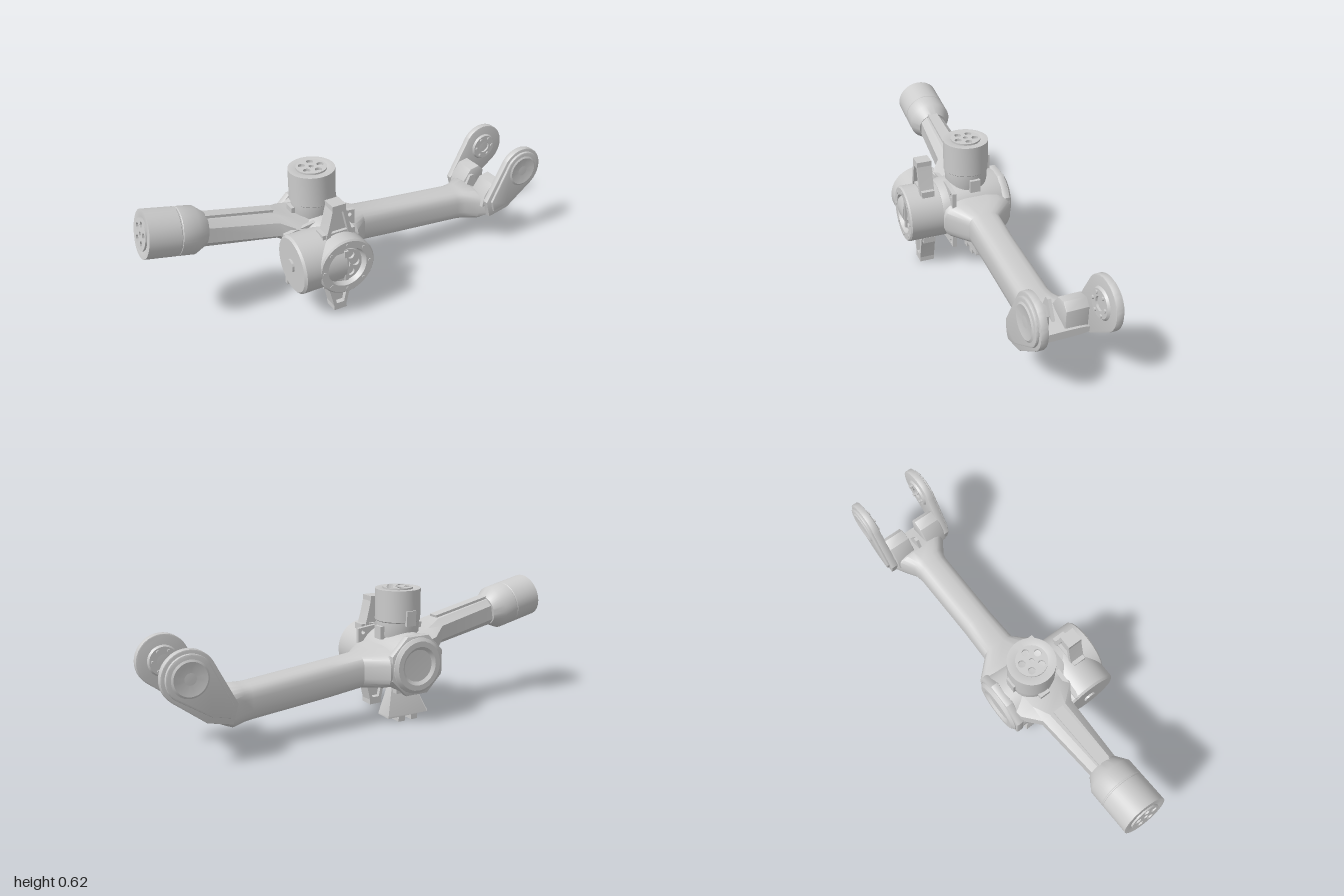
import * as THREE from 'three';
import { mergeVertices, toCreasedNormals } from 'three/addons/utils/BufferGeometryUtils.js';

const MAT = new THREE.MeshStandardMaterial({ color: 0xcccccc, side: THREE.DoubleSide });
const ZC = -0.073; // centre plane of the arm
const V = (x, y, z) => new THREE.Vector3(x, y, z);
const X = V(1, 0, 0), Y = V(0, 1, 0), Z = V(0, 0, 1);

function add(parent, name, geo, pos = V(0, 0, 0), axis = null, from = Y) {
  const m = new THREE.Mesh(toCreasedNormals(geo, 0.6), MAT);
  m.name = name;
  m.position.copy(pos);
  if (axis) m.quaternion.setFromUnitVectors(from, axis.clone().normalize());
  parent.add(m);
  return m;
}

// turned part: profile of [radius, distance] along an axis
function turned(parent, name, profile, pos, axis, segs = 48) {
  const pts = profile.map(([r, d]) => new THREE.Vector2(r, d));
  return add(parent, name, new THREE.LatheGeometry(pts, segs), pos, axis);
}

// body along x from rounded sections [x, yBottom, yTop, halfDepth]
function loft(parent, name, sections, segs, power) {
  const pos = [], idx = [], n = segs;
  const pw = (v) => Math.sign(v) * Math.abs(v) ** power;
  for (const [x, yb, yt, hz] of sections) {
    for (let i = 0; i < n; i++) {
      const a = ((i + 0.5) / n) * Math.PI * 2;
      pos.push(x, (yb + yt) / 2 + (pw(Math.sin(a)) * (yt - yb)) / 2, ZC + pw(Math.cos(a)) * hz);
    }
  }
  for (let s = 0; s < sections.length - 1; s++) {
    for (let i = 0; i < n; i++) {
      const a = s * n + i, b = s * n + ((i + 1) % n);
      idx.push(a, b, a + n, b, b + n, a + n);
    }
  }
  const last = (sections.length - 1) * n;
  for (let i = 1; i < n - 1; i++) idx.push(0, i + 1, i, last, last + i, last + i + 1);
  const g = new THREE.BufferGeometry();
  g.setAttribute('position', new THREE.Float32BufferAttribute(pos, 3));
  g.setIndex(idx);
  return add(parent, name, mergeVertices(g).toNonIndexed(), V(0, 0, 0));
}

function extrude(shape, depth, bevel = 0) {
  return new THREE.ExtrudeGeometry(shape, {
    depth, curveSegments: 24, bevelEnabled: bevel > 0, bevelSize: bevel, bevelThickness: bevel, bevelOffset: -bevel, bevelSegments: 2,
  });
}

const polygon = (pts) => new THREE.Shape(pts.map(([x, y]) => new THREE.Vector2(x, y)));

// round cover plate with a centre bore and a circle of holes
function holedPlate(r, bore, holeR, holeAt, count) {
  const s = new THREE.Shape().absarc(0, 0, r, 0, Math.PI * 2);
  const hole = (x, y, q) => s.holes.push(new THREE.Path().absarc(x, y, q, 0, Math.PI * 2, true));
  hole(0, 0, bore);
  for (let i = 0; i < count; i++) {
    const a = (i / count) * Math.PI * 2;
    hole(Math.cos(a) * holeAt, Math.sin(a) * holeAt, holeR);
  }
  return extrude(s, 0.012);
}

// motor can with a step, a seam and a perforated end cover
function motor(parent, name, end, inward, profile) {
  turned(parent, name, profile, end, inward);
  const out = inward.clone().normalize().negate();
  add(parent, name + 'Cover', holedPlate(0.07, 0.012, 0.016, 0.044, 5), end.clone().addScaledVector(out, -0.006), out, Z);
}

function bolts(parent, centre, r, count, z) {
  for (let i = 0; i < count; i++) {
    const a = (i / count) * Math.PI * 2;
    add(parent, 'bolt', new THREE.CylinderGeometry(0.008, 0.008, 0.01, 8), V(centre.x + r * Math.cos(a), centre.y + r * Math.sin(a), z), Z);
  }
}

// teardrop cheek of the fork; inset shrinks it for the raised pad
function cheekShape(inset) {
  const c = [0.885, 0.39], r = 0.115 - inset;
  const s = new THREE.Shape();
  s.moveTo(0.685 + inset * 1.5, 0.255);
  s.lineTo(0.71 + inset, 0.17 + inset * 2);
  s.lineTo(0.82 - inset, 0.195 + inset * 1.6);
  s.absarc(c[0], c[1], r, -0.91, 2.62, false);
  s.closePath();
  return s;
}

export function createModel() {
  const g = new THREE.Group();
  g.name = 'robotArm';
  const hub = V(-0.195, 0.285, ZC);

  // wrist motor and forearm
  const dir = V(0.978, -0.205, 0).normalize();
  motor(g, 'wristMotor', V(-0.978, 0.512, -0.077), dir,
    [[0, 0.01], [0.06, 0.006], [0.075, 0], [0.105, 0], [0.105, 0.135], [0.103, 0.137], [0.103, 0.142], [0.105, 0.144], [0.105, 0.215], [0.073, 0.265], [0, 0.265]]);
  loft(g, 'forearm', [[-0.745, 0.39, 0.53, 0.062], [-0.4, 0.33, 0.46, 0.083], [-0.32, 0.29, 0.43, 0.145], [-0.2, 0.23, 0.41, 0.155]], 8, 0.7);
  add(g, 'forearmRidge', new THREE.BoxGeometry(0.32, 0.012, 0.05), V(-0.56, 0.495, ZC), V(0.978, -0.2, 0), X);

  // upper arm, flared into the elbow and the fork
  loft(g, 'upperArm', [[-0.2, 0.17, 0.4, 0.165], [-0.05, 0.18, 0.36, 0.168], [0.035, 0.182, 0.338, 0.08],
    [0.2, 0.162, 0.322, 0.075], [0.58, 0.128, 0.285, 0.077], [0.62, 0.124, 0.285, 0.085], [0.68, 0.12, 0.288, 0.125],
    [0.72, 0.142, 0.265, 0.153], [0.82, 0.198, 0.235, 0.15]], 20, 0.6);

  // elbow hub with dished end caps
  turned(g, 'elbowHub', [[0, -0.16], [0.13, -0.16], [0.14, -0.13], [0.14, 0.13], [0.13, 0.165], [0, 0.165]], hub, Z);
  turned(g, 'rearCap', [[0, 0.17], [0.075, 0.172], [0.09, 0.184], [0.115, 0.184], [0.13, 0.172], [0.135, 0.14]], hub, Z.clone().negate(), 24);
  const hex = polygon([...Array(8)].map((_, i) => [0.15 * Math.cos((i + 0.5) * Math.PI / 4), 0.15 * Math.sin((i + 0.5) * Math.PI / 4)]));
  add(g, 'rearCollar', extrude(hex, 0.025, 0.006), V(hub.x, hub.y, -0.235));

  // vertical motor on top
  motor(g, 'topMotor', V(-0.2, 0.618, -0.066), V(0, -1, 0),
    [[0, 0.01], [0.06, 0.006], [0.075, 0], [0.106, 0], [0.106, 0.145], [0.1, 0.15], [0.1, 0.21], [0.085, 0.25], [0.085, 0.32], [0, 0.32]]);
  for (const s of [-1, 1]) {
    add(g, 'topMotorLug', new THREE.BoxGeometry(0.03, 0.06, 0.05), V(-0.2 + s * 0.1, 0.42, ZC));
    add(g, 'topMotorBrace', extrude(polygon([[0, 0], [0.07, 0], [0, 0.1]]), 0.02), V(-0.19, 0.38, ZC + s * 0.085), V(0, 0, -s), X);
  }
  add(g, 'topMotorTab', new THREE.BoxGeometry(0.05, 0.07, 0.05), V(-0.2, 0.49, -0.155));

  // elbow housing: a front drum crossed by a sideways drum
  turned(g, 'frontDrum', [[0, 0.225], [0.085, 0.225], [0.095, 0.255], [0.128, 0.255], [0.135, 0.248], [0.135, 0], [0, 0]], V(-0.2, 0.276, 0), Z);
  add(g, 'frontDrumCover', holedPlate(0.08, 0.022, 0.018, 0.05, 6), V(-0.2, 0.276, 0.226));
  add(g, 'frontDrumBar', new THREE.BoxGeometry(0.018, 0.15, 0.015), V(-0.2, 0.276, 0.24));
  bolts(g, V(-0.2, 0.276, 0), 0.112, 8, 0.253);
  turned(g, 'sideDrum', [[0, 0.415], [0.03, 0.415], [0.03, 0.405], [0.125, 0.405], [0.135, 0.395], [0.135, 0.2], [0, 0.2]], V(0, 0.276, 0.12), X.clone().negate());

  // square mounting plate behind the drums
  const plate = polygon([[-0.4, 0.13], [-0.05, 0.13], [-0.05, 0.42], [-0.15, 0.43], [-0.4, 0.39]]);
  for (const [x, y] of [[-0.375, 0.15], [-0.075, 0.15], [-0.075, 0.4]]) plate.holes.push(new THREE.Path().absarc(x, y, 0.01, 0, Math.PI * 2, true));
  add(g, 'mountingPlate', extrude(plate, 0.02), V(0, 0, 0.035));

  // clamp arms above and below the front drum
  for (const s of [1, -1]) {
    const clamp = new THREE.Group();
    clamp.name = s > 0 ? 'upperClamp' : 'lowerClamp';
    clamp.position.set(-0.2, 0.277, 0.115);
    if (s < 0) clamp.rotation.z = Math.PI;
    add(clamp, 'clampWeb', extrude(polygon([[-0.07, 0.1], [0.07, 0.1], [0.045, 0.17], [0.022, 0.235], [-0.022, 0.235], [-0.045, 0.17]]), 0.03), V(0, 0, 0.02));
    for (const k of [-1, 1]) {
      add(clamp, 'clampRail', extrude(polygon([[k * 0.072, 0.1], [k * 0.05, 0.1], [k * 0.016, 0.25], [k * 0.032, 0.25], [k * 0.05, 0.175]]), 0.07));
    }
    add(clamp, 'clampTip', new THREE.BoxGeometry(0.064, 0.035, 0.07), V(0, 0.256, 0.035));
    add(clamp, 'clampFoot', new THREE.BoxGeometry(0.16, 0.03, 0.06), V(0, 0.125, 0.035));
    g.add(clamp);
  }

  // lower foot: tapered skirt with two ribs and a base strip
  const foot = extrude(polygon([[-0.055, 0.18], [-0.11, 0.035], [-0.11, 0.025], [0.11, 0.025], [0.11, 0.035], [0.055, 0.18]]), 0.085);
  const p = foot.attributes.position;
  for (let i = 0; i < p.count; i++) {
    if (p.getZ(i) < 0.01 && p.getY(i) > 0.1) p.setZ(i, 0.055); // rear face leans inward
  }
  foot.computeVertexNormals();
  add(g, 'foot', foot, V(-0.2, 0, -0.165));
  for (const s of [-1, 1]) add(g, 'footPad', new THREE.BoxGeometry(0.035, 0.026, 0.085), V(-0.2 + s * 0.035, 0.013, -0.122));
  add(g, 'footNeck', new THREE.BoxGeometry(0.12, 0.05, 0.13), V(-0.2, 0.16, -0.09));

  // fork: two mirrored cheeks with raised pads, inner flanges and blocks
  for (const s of [1, -1]) {
    const cheek = new THREE.Group();
    cheek.name = s > 0 ? 'frontCheek' : 'rearCheek';
    const c = V(0.885, 0.39, 0);
    const slab = (name, shape, a, b, bevel) => add(cheek, name, extrude(shape, b - a - 2 * bevel, bevel), V(0, 0, (s > 0 ? a : -b) + bevel));
    slab('cheekPlate', cheekShape(0), 0.138, 0.17, 0.004);
    slab('cheekPad', cheekShape(0.016), 0.165, 0.182, 0.006);
    turned(cheek, 'cheekDish', [[0, 0.181], [0.05, 0.183], [0.07, 0.187], [0.08, 0.181]], c, V(0, 0, s), 32);
    turned(cheek, 'innerFlange', [[0.03, 0.15], [0.03, 0.128], [0.062, 0.128], [0.07, 0.14]], c, V(0, 0, s), 32);
    bolts(cheek, c, 0.048, 6, s * 0.126);
    add(cheek, 'forkBlock', extrude(polygon([[0.68, 0.22], [0.81, 0.22], [0.81, 0.32], [0.78, 0.35], [0.73, 0.34], [0.69, 0.28]]), 0.095, 0.004), V(0, 0, s > 0 ? 0.044 : -0.131));
    cheek.position.z = ZC + 0.002;
    g.add(cheek);
  }
  add(g, 'forkRib', extrude(polygon([[0.66, 0.24], [0.78, 0.23], [0.72, 0.33], [0.7, 0.33]]), 0.015), V(0, 0, ZC - 0.007));
  return g;
}
